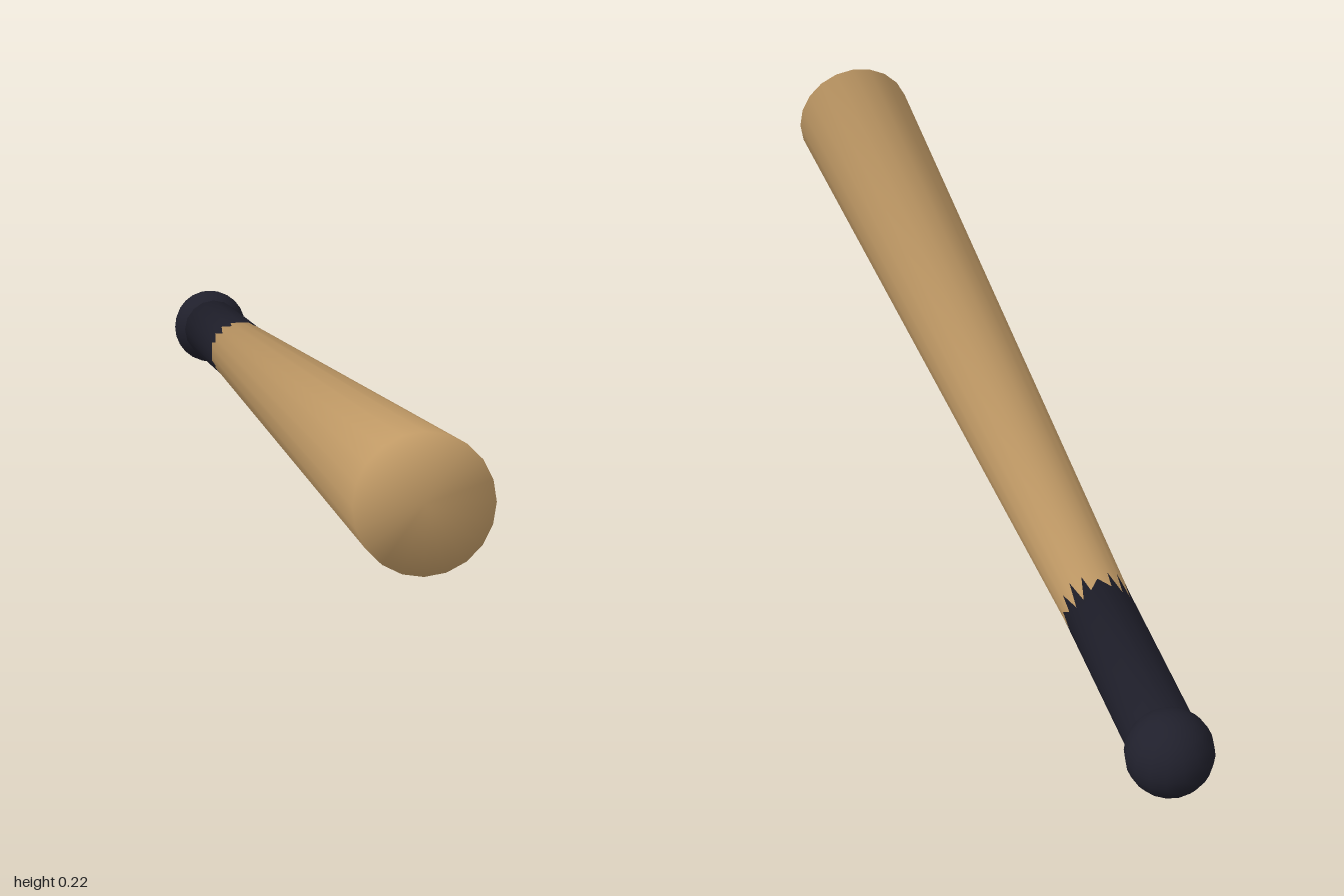
import * as THREE from 'three';
import { mergeVertices } from 'three/addons/utils/BufferGeometryUtils.js';

const AXIS_Y = 0.111;

// Capped round bar along z whose shading rolls softly over the rims
function softBar(rFront, rBack, zFront, zBack, sides) {
  let geo = new THREE.CylinderGeometry(rFront, rBack, zFront - zBack, sides, 1);
  geo.rotateX(Math.PI / 2);
  geo.deleteAttribute('normal');
  geo.deleteAttribute('uv');
  geo = mergeVertices(geo, 1e-5);
  const pos = geo.attributes.position;
  const normals = new THREE.Float32BufferAttribute(new Float32Array(pos.count * 3), 3);
  const n = new THREE.Vector3();
  for (let i = 0; i < pos.count; i++) {
    n.set(pos.getX(i), pos.getY(i), 0);
    if (n.length() > 1e-4) n.normalize();
    n.z = Math.sign(pos.getZ(i));
    n.normalize();
    normals.setXYZ(i, n.x, n.y, n.z);
  }
  geo.setAttribute('normal', normals);
  geo.translate(0, AXIS_Y, (zFront + zBack) / 2);
  return geo;
}

export function createModel() {
  const model = new THREE.Group();
  model.name = 'bat';

  const wood = new THREE.MeshStandardMaterial({ color: 0xc8a06a });
  wood.name = 'wood';
  const wrap = new THREE.MeshStandardMaterial({ color: 0x20202c });
  wrap.name = 'darkWrap';

  const add = (name, geo, material) => {
    const mesh = new THREE.Mesh(geo, material);
    mesh.name = name;
    model.add(mesh);
  };

  // Tapered wooden barrel running back into the handle
  add('barrel', softBar(0.109, 0.045, 1, -0.93, 20), wood);

  // Straight wrapped grip; its facets cross the taper in a jagged line
  add('grip', softBar(0.0572, 0.0572, -0.5, -0.93, 16), wrap);

  // Round knob on the end of the handle
  const knob = new THREE.SphereGeometry(0.071, 16, 12);
  knob.translate(0, AXIS_Y, -0.929);
  add('knob', knob, wrap);

  return model;
}
